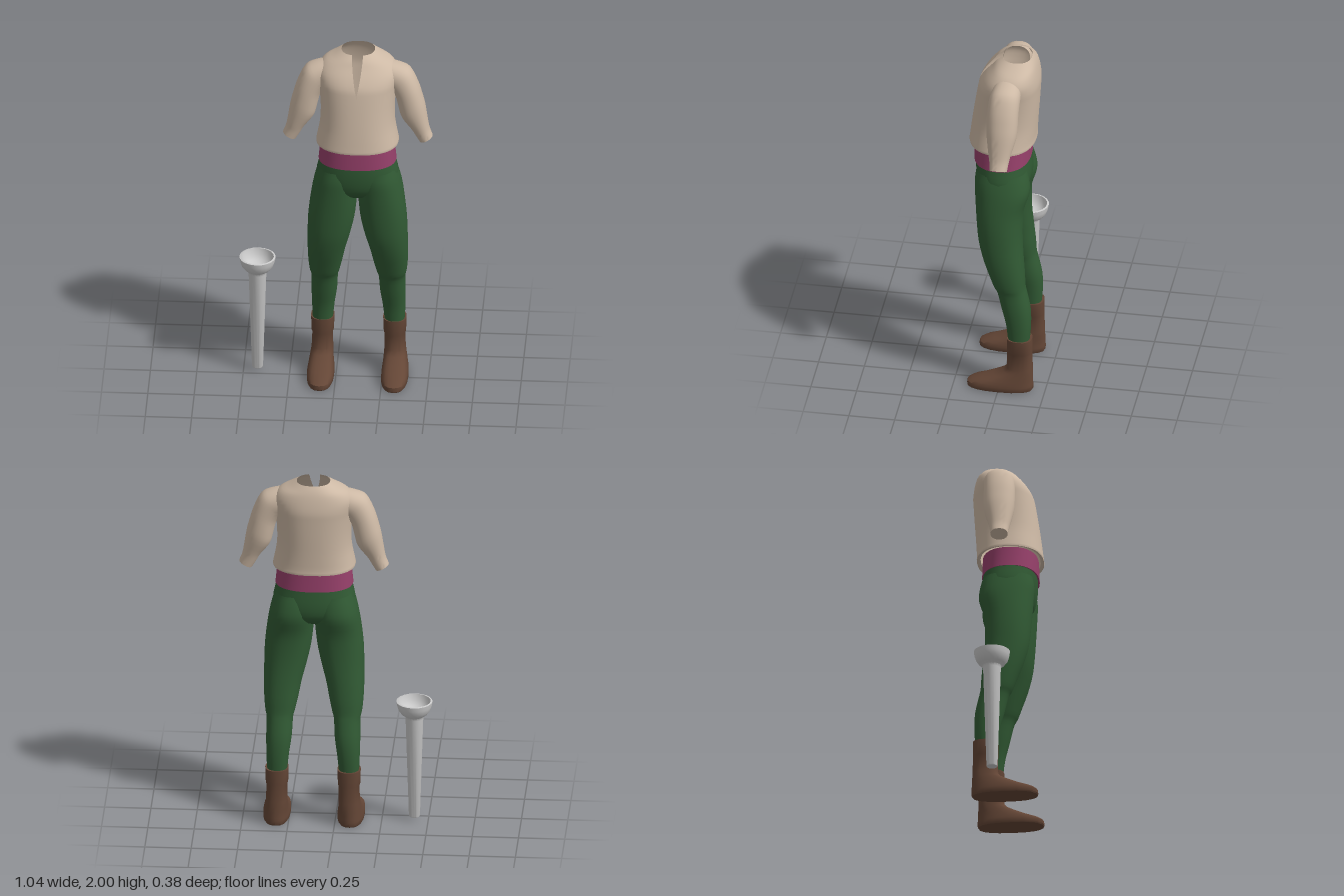
import * as THREE from 'three';
import { toCreasedNormals } from 'three/addons/utils/BufferGeometryUtils.js';

const mat = (color) => new THREE.MeshStandardMaterial({ color, side: THREE.DoubleSide });
const SHIRT = mat(0xcdb9a5), SASH = mat(0x96406a), PANTS = mat(0x315a34), BOOT = mat(0x644636), GREY = mat(0xcccccc);

// Skin over oval rings listed from top to bottom.
// Ring: [x0, y0, x1, y1, z0, z1, gap]; gap is the half width of an opening at the front.
function loft(rings, { n = 2.2, sides = 28, sub = 3, cap = false, crease = 0.9 } = {}) {
  const full = rings.map((r) => (r.length < 7 ? [...r, 0] : r));
  const spline = new THREE.CubicInterpolant(full.map((_, i) => i), full.flat(), 7);
  const rows = (full.length - 1) * sub;
  const pos = [], idx = [];
  const pow = (v) => Math.sign(v) * Math.abs(v) ** (2 / n);
  for (let i = 0; i <= rows; i++) {
    const [x0, y0, x1, y1, z0, z1, gap] = [...spline.evaluate(i / sub)];
    const start = Math.asin((Math.max(0, gap) / ((x1 - x0) / 2)) ** (n / 2));
    for (let j = 0; j <= sides; j++) {
      const t = start + (j / sides) * (2 * Math.PI - 2 * start);
      const u = (1 + pow(Math.sin(t))) / 2, w = (1 + pow(Math.cos(t))) / 2;
      pos.push(x0 + (x1 - x0) * u, y0 + (y1 - y0) * u, z0 + (z1 - z0) * w);
    }
  }
  const s = sides + 1;
  for (let i = 0; i < rows; i++) {
    for (let j = 0; j < sides; j++) {
      const a = i * s + j;
      idx.push(a, a + s, a + 1, a + 1, a + s, a + s + 1);
    }
  }
  if (cap) {
    const [x0, y0, x1, y1, z0, z1] = full.at(-1);
    pos.push((x0 + x1) / 2, (y0 + y1) / 2, (z0 + z1) / 2);
    const c = (rows + 1) * s;
    for (let j = 0; j < sides; j++) idx.push(c, rows * s + j + 1, rows * s + j);
  }
  const g = new THREE.BufferGeometry();
  g.setAttribute('position', new THREE.Float32BufferAttribute(pos, 3));
  g.setIndex(idx);
  return toCreasedNormals(g, crease);
}

// Level ring from height, x range and z range
const flat = ([y, x0, x1, z0, z1]) => [x0, y, x1, y, z0, z1];
// Level ring centred on the body
const wide = ([y, hw, z0, z1, gap = 0]) => [-hw, y, hw, y, z0, z1, gap];
const mirror = ([x0, y0, x1, y1, z0, z1]) => [-x1, y1, -x0, y0, z0, z1];

function add(parent, name, geometry, material) {
  const mesh = new THREE.Mesh(geometry, material);
  mesh.name = name;
  parent.add(mesh);
  return mesh;
}

export function createModel() {
  const model = new THREE.Group();
  model.name = 'outfit';
  const body = new THREE.Group();
  body.name = 'clothes';
  body.position.x = 0.118;
  model.add(body);

  // Shirt body with neck opening, front slit and turned-in hem
  add(body, 'shirtBody', loft([
    [2.0, 0.09, -0.145, 0.015, 0.03],
    [1.975, 0.132, -0.16, 0.045, 0.028],
    [1.945, 0.185, -0.172, 0.068, 0.025],
    [1.9, 0.215, -0.183, 0.105, 0.018],
    [1.85, 0.215, -0.19, 0.135, 0.009],
    [1.8, 0.208, -0.188, 0.147, 0],
    [1.7, 0.2, -0.182, 0.163, 0],
    [1.6, 0.202, -0.175, 0.177, 0],
    [1.51, 0.218, -0.17, 0.188, 0],
    [1.48, 0.222, -0.17, 0.19, 0],
    [1.487, 0.2, -0.15, 0.172, 0],
  ].map(wide), { n: 2.3, sides: 40 }), SHIRT);

  // Sleeves, slanted rings from shoulder to cuff
  const sleeve = [
    [0.11, 1.83, 0.17, 1.945, -0.11, 0.035],
    [0.16, 1.80, 0.235, 1.928, -0.115, 0.045],
    [0.18, 1.78, 0.285, 1.9, -0.115, 0.052],
    [0.203, 1.74, 0.325, 1.82, -0.113, 0.056],
    [0.22, 1.67, 0.348, 1.745, -0.112, 0.056],
    [0.237, 1.612, 0.364, 1.68, -0.106, 0.052],
    [0.287, 1.545, 0.379, 1.585, -0.083, 0.038],
    [0.31, 1.505, 0.388, 1.54, -0.074, 0.03],
    [0.333, 1.465, 0.403, 1.5, -0.068, 0.025],
  ];

  // Trouser leg
  const leg = [
    [1.33, 0.01, 0.208, -0.13, 0.14],
    [1.27, 0.0, 0.226, -0.145, 0.148],
    [1.2, 0.0, 0.242, -0.15, 0.145],
    [1.1, 0.006, 0.257, -0.122, 0.138],
    [1.0, 0.018, 0.267, -0.115, 0.13],
    [0.9, 0.04, 0.27, -0.117, 0.118],
    [0.8, 0.066, 0.271, -0.125, 0.092],
    [0.71, 0.084, 0.268, -0.133, 0.06],
    [0.64, 0.1, 0.261, -0.137, 0.034],
    [0.6, 0.11, 0.253, -0.145, 0.014],
    [0.5, 0.116, 0.254, -0.166, -0.01],
    [0.4, 0.13, 0.252, -0.17, -0.035],
    [0.3, 0.14, 0.248, -0.163, -0.047],
  ].map(flat);

  // Boot: shaft, instep sloping to the toe, flat sole
  const boot = [
    [0.318, 0.145, 0.244, -0.165, -0.052],
    [0.32, 0.131, 0.258, -0.178, -0.04],
    [0.235, 0.134, 0.255, -0.178, -0.04],
    [0.225, 0.139, 0.25, -0.177, -0.042],
    [0.135, 0.138, 0.254, -0.18, -0.04],
    [0.11, 0.137, 0.257, -0.181, -0.02],
    [0.085, 0.135, 0.262, -0.182, 0.035],
    [0.062, 0.132, 0.267, -0.183, 0.095],
    [0.045, 0.129, 0.271, -0.184, 0.15],
    [0.03, 0.127, 0.273, -0.185, 0.174],
    [0.006, 0.127, 0.273, -0.184, 0.177],
    [0.0, 0.131, 0.269, -0.18, 0.173],
  ].map(flat);

  for (const [side, turn] of [['left', (r) => r], ['right', mirror]]) {
    add(body, side + 'Sleeve', loft(sleeve.map(turn), { cap: true }), SHIRT);
    add(body, side + 'TrouserLeg', loft(leg.map(turn), { n: 2.25 }), PANTS);
    add(body, side + 'Boot', loft(boot.map(turn), { n: 2.5, sides: 20, sub: 1, cap: true, crease: 0.7 }), BOOT);
  }

  // Seat of the trousers
  add(body, 'trouserSeat', loft([
    [1.475, 0.19, -0.13, 0.15],
    [1.37, 0.205, -0.138, 0.157],
    [1.28, 0.222, -0.145, 0.152],
    [1.21, 0.2, -0.135, 0.135],
    [1.165, 0.12, -0.095, 0.1],
    [1.145, 0.03, -0.05, 0.06],
  ].map(wide), { n: 2.3, cap: true }), PANTS);

  // Waist sash with folded-in edges
  add(body, 'sash', loft([
    [1.48, 0.185, -0.125, 0.148],
    [1.482, 0.2, -0.138, 0.162],
    [1.43, 0.204, -0.14, 0.165],
    [1.37, 0.21, -0.142, 0.166],
    [1.373, 0.198, -0.13, 0.15],
  ].map(wide), { n: 2.3, sub: 1, sides: 36 }), SASH);

  // Peg leg with hollow cup
  const profile = [
    [0, 0.02], [0.028, 0.02], [0.03, 0.024], [0.048, 0.6], [0.052, 0.615], [0.07, 0.628],
    [0.086, 0.65], [0.094, 0.675], [0.098, 0.7], [0.088, 0.702], [0.08, 0.67], [0.063, 0.645],
    [0.04, 0.632], [0, 0.632],
  ].map(([x, y]) => new THREE.Vector2(x, y));
  const peg = add(model, 'pegLeg', toCreasedNormals(new THREE.LatheGeometry(profile, 20), 0.7), GREY);
  peg.position.set(-0.425, 0, -0.045);

  return model;
}
